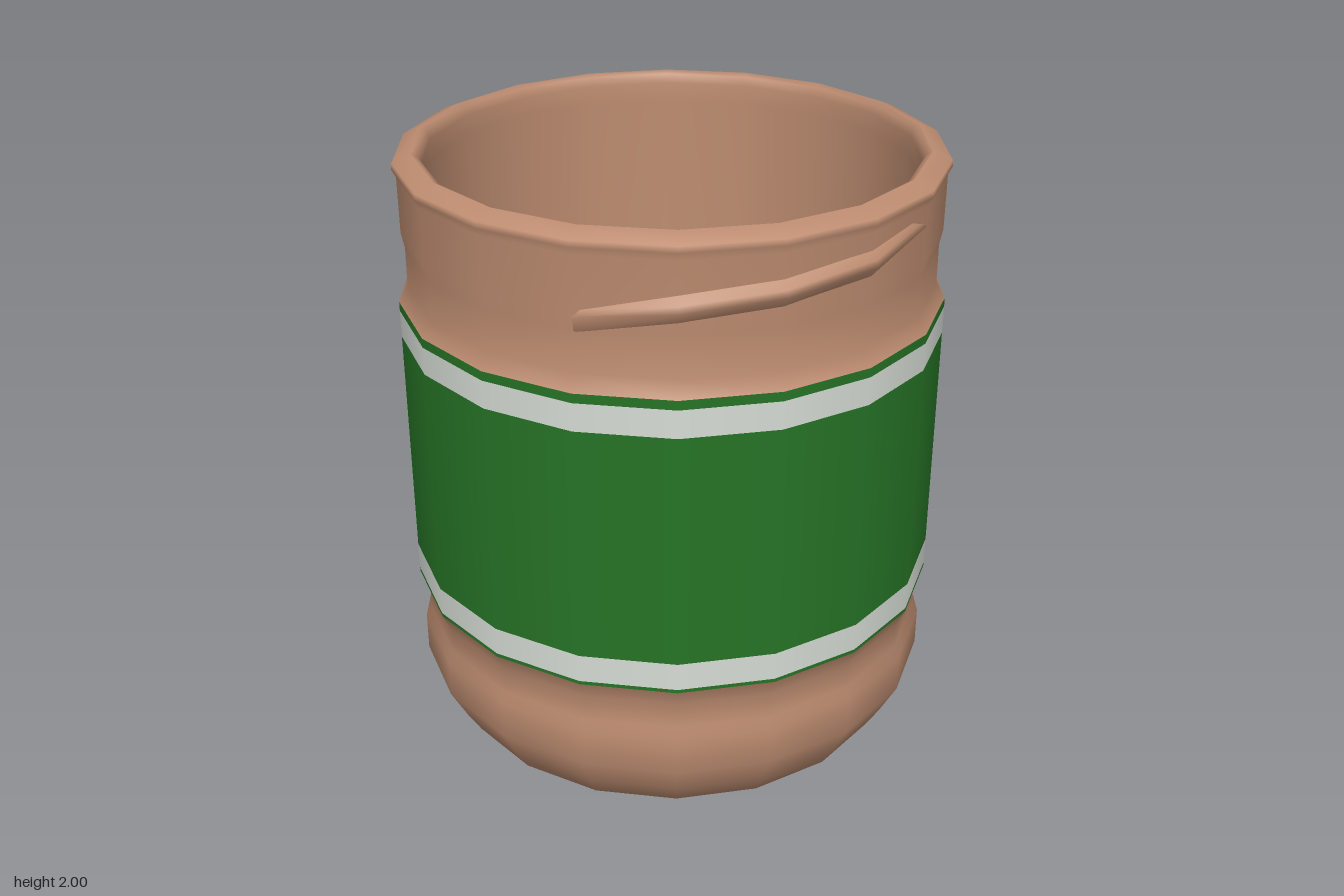
import * as THREE from 'three';

const SIDES = 18, STEP = 20, LABEL_R = 0.878;
const rad = THREE.MathUtils.degToRad;
const mat = (name, color, side = THREE.FrontSide) => {
  const m = new THREE.MeshStandardMaterial({ color, side });
  m.name = name;
  return m;
};

// Radius of the 18-sided wall at an angle; corners sit at 10, 30, 50... degrees
function wallRadius(deg, r) {
  const d = ((deg % STEP) + STEP) % STEP;
  const fromFlat = d > STEP / 2 ? d - STEP : d;
  return r * Math.cos(rad(STEP / 2)) / Math.cos(rad(fromFlat));
}

// Surface joining columns of [radius, y] points placed at increasing angles
function columnSurface(columns, radialNormals) {
  const pos = [], nor = [], idx = [], n = columns[0].points.length;
  columns.forEach(({ deg, points }, i) => {
    const s = Math.sin(rad(deg)), c = Math.cos(rad(deg));
    points.forEach(([r, y], j) => {
      pos.push(r * s, y, r * c);
      nor.push(s, 0, c);
      if (i && j) {
        const b = i * n + j, a = b - n;
        idx.push(a - 1, b - 1, b, a - 1, b, a);
      }
    });
  });
  const g = new THREE.BufferGeometry();
  g.setAttribute('position', new THREE.Float32BufferAttribute(pos, 3));
  g.setAttribute('normal', new THREE.Float32BufferAttribute(nor, 3));
  g.setIndex(idx);
  if (!radialNormals) g.computeVertexNormals();
  return g;
}

// Oval wrapped on the label, cut off at yMin and yMax; slope leans it
function wrappedOval({ deg, y, rx, ry, lift, slope = 0, yMin = 0, yMax = 2 }) {
  const half = THREE.MathUtils.radToDeg(rx / LABEL_R), columns = [];
  const angles = [];
  for (let i = 0; i <= 48; i++) angles.push(deg - half * Math.cos(Math.PI * i / 48));
  for (let a = 10; a < 360; a += STEP) if (Math.abs(a - deg) < half) angles.push(a);
  angles.sort((a, b) => a - b);
  for (const a of angles) {
    const t = (a - deg) / half;
    const h = ry * Math.sqrt(Math.max(0, 1 - t * t));
    const mid = y - slope * t * rx, r = wallRadius(a, LABEL_R) + lift;
    columns.push({ deg: a, points: [[r, Math.max(yMin, mid - h)], [r, Math.min(yMax, mid + h)]] });
  }
  return columnSurface(columns, true);
}

export function createModel() {
  const clay = mat('tan jar', 0xbd8c70, THREE.DoubleSide);
  const green = mat('label green', 0x267326);
  const white = mat('label white', 0xd6dcd5);
  const orange = mat('nut orange', 0xc2803a);

  const model = new THREE.Group();
  model.name = 'jar';
  const jar = new THREE.Group();
  jar.name = 'jarBody';
  jar.position.set(0.006, 0, -0.006);
  model.add(jar);

  const add = (name, geometry, material) => {
    const mesh = new THREE.Mesh(geometry, material);
    mesh.name = name;
    jar.add(mesh);
  };
  const turned = (name, points, material) => add(name, new THREE.LatheGeometry(
    points.map(([r, y]) => new THREE.Vector2(r, y)), SIDES, rad(10), Math.PI * 2), material);

  // Base: repeated points make a crease
  turned('base', [[0, 0.005], [0.7, 0.005], [0.7, 0.005], [0.765, 0.025], [0.81, 0.1], [0.868, 0.21],
    [0.868, 0.34], [0.848, 0.37], [0.848, 0.46], [LABEL_R, 0.525]], clay);

  // Neck, rim and hollow inside
  turned('neckAndInside', [[LABEL_R, 1.52], [0.848, 1.57], [0.847, 1.7], [0.857, 1.75],
    [0.858, 1.93], [0.871, 1.955], [0.869, 1.975], [0.81, 2], [0.79, 1.99], [0.782, 1.96],
    [0.78, 1.9], [0.78, 0.3], [0.72, 0.06], [0.72, 0.06], [0, 0.05]], clay);

  // Label bands from bottom to top
  [['lowerTrim', 0.525, 0.537, green], ['lowerStripe', 0.537, 0.63, white],
    ['labelField', 0.63, 1.4, green], ['upperStripe', 1.4, 1.49, white],
    ['upperTrim', 1.49, 1.52, green]].forEach(([name, y0, y1, m]) =>
    turned(name, [[LABEL_R, y0], [LABEL_R, y1]], m));

  // Badge on the back with a nut and a small leaf
  add('badge', wrappedOval({ deg: 162.5, y: 1.02, rx: 0.53, ry: 0.53, lift: 0.003,
    yMin: 0.537, yMax: 1.492 }), white);
  [[156, 0.95, 0.125], [160.5, 1.035, 0.108], [165, 1.12, 0.13]].forEach(([deg, y, r], i) =>
    add('nut' + (i + 1), wrappedOval({ deg, y, rx: r, ry: r, lift: 0.006 }), orange));
  add('leaf', wrappedOval({ deg: 184.5, y: 1.15, rx: 0.026, ry: 0.05, slope: 2, lift: 0.006 }), green);

  // Three rising screw threads around the neck
  const rise = [1.75, 1.79, 1.815, 1.84, 1.87], bulge = [0, 0.034, 0.034, 0.028, 0];
  [-10, 110, 210].forEach((start, k) => {
    const columns = rise.map((y, i) => ({
      deg: start + i * STEP,
      points: [[0.846, y - 0.055], [0.857 + bulge[i], y - 0.005], [0.855 + bulge[i] * 0.8, y + 0.015], [0.85, y + 0.045]],
    }));
    add('thread' + (k + 1), columnSurface(columns, false), clay);
  });

  return model;
}
